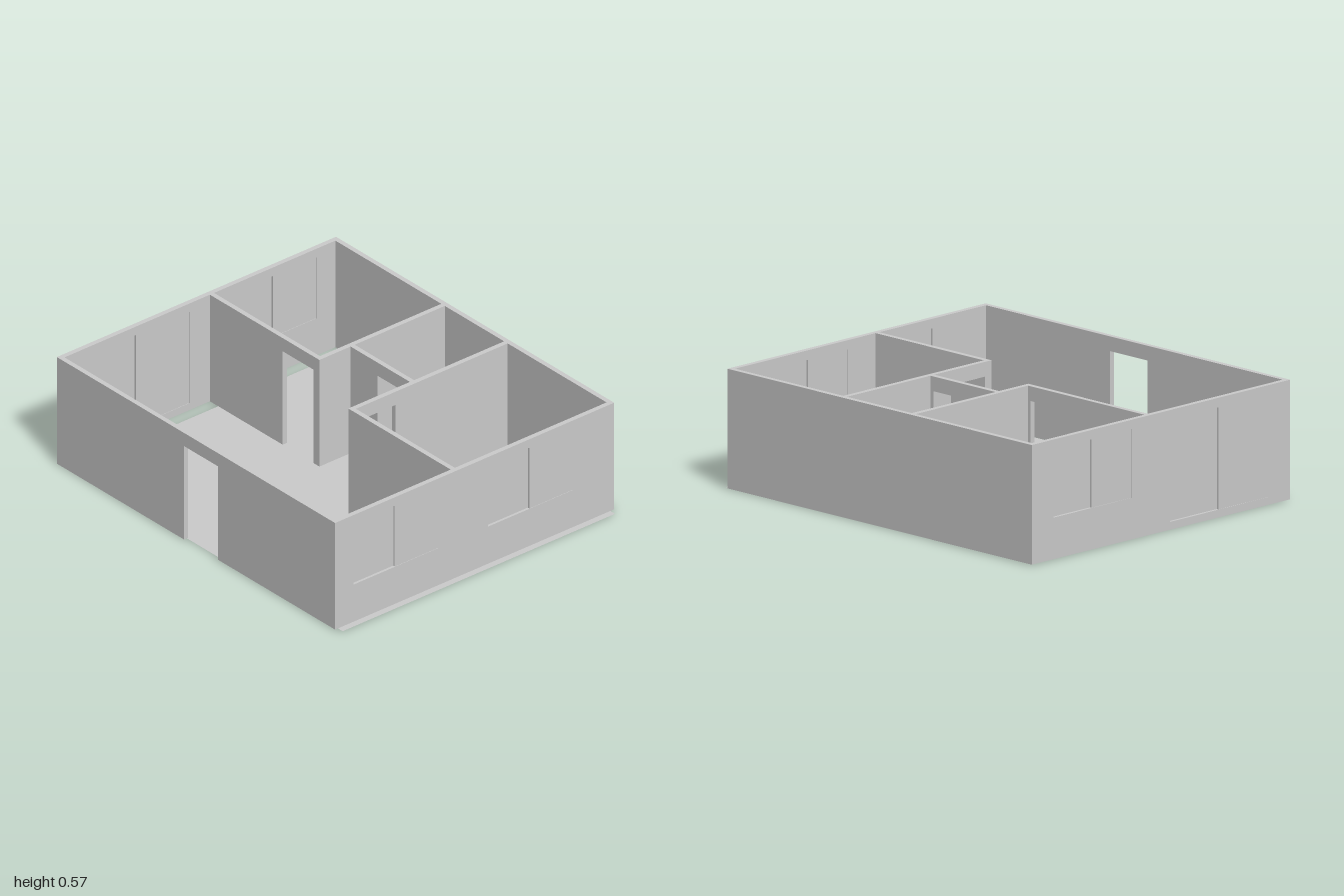
import * as THREE from 'three';

const T = 0.025;      // wall thickness
const BASE = 0.003;   // walls stand on the floor sheet
const TOP = 0.57;
const DOOR = 0.5;     // door height
const material = new THREE.MeshStandardMaterial({ color: 0xcccccc });
const floorMaterial = new THREE.MeshStandardMaterial({ color: 0xcccccc, side: THREE.DoubleSide });

// Upright wall from a to b along an axis; min is its lower face on the other axis.
// Doors are [from, to] in ascending order, windows are [from, to, bottom, top].
function wall(name, axis, a, b, min, doors = [], windows = []) {
  const shape = new THREE.Shape();
  shape.moveTo(a, BASE);
  for (const [from, to] of doors) {
    shape.lineTo(from, BASE);
    shape.lineTo(from, DOOR);
    shape.lineTo(to, DOOR);
    shape.lineTo(to, BASE);
  }
  shape.lineTo(b, BASE);
  shape.lineTo(b, TOP);
  shape.lineTo(a, TOP);
  shape.closePath();
  for (const [from, to, bottom, top] of windows) {
    const hole = new THREE.Path();
    hole.moveTo(from, bottom);
    hole.lineTo(from, top);
    hole.lineTo(to, top);
    hole.lineTo(to, bottom);
    hole.closePath();
    shape.holes.push(hole);
  }
  const geometry = new THREE.ExtrudeGeometry(shape, { depth: T, bevelEnabled: false });
  if (axis === 'z') geometry.rotateY(-Math.PI / 2).translate(min + T, 0, 0);
  else geometry.translate(0, 0, min);
  const mesh = new THREE.Mesh(geometry, material);
  mesh.name = name;
  return mesh;
}

// Two sliding panes, staggered in depth, in a side wall whose outer face is at x = outer.
function slidingWindow(name, outer, [from, to, bottom, top]) {
  const group = new THREE.Group();
  group.name = name;
  const side = Math.sign(outer);
  const half = (to - from) / 2;
  const middle = (from + to) / 2;
  const panes = [['outerPane', -side, 0.007], ['innerPane', side, 0.018]];
  for (const [paneName, zSide, depth] of panes) {
    const pane = new THREE.Mesh(new THREE.BoxGeometry(0.009, top - bottom, half + 0.004), material);
    pane.position.set(outer - side * depth, (bottom + top) / 2, middle + zSide * (half / 2 - 0.002));
    pane.name = paneName;
    group.add(pane);
  }
  return group;
}

export function createModel() {
  const model = new THREE.Group();
  model.name = 'house';

  // Floor sheet, set slightly towards the right of the walls
  const floor = new THREE.Mesh(new THREE.PlaneGeometry(1.92, 1.64).rotateX(-Math.PI / 2), floorMaterial);
  floor.position.x = 0.04;
  floor.name = 'floor';
  model.add(floor);

  const rightSide = [[-0.59, -0.08, 0.2, 0.525], [0.22, 0.73, 0.2, 0.525]];
  const leftSide = [[-0.7, -0.19, 0.2, 0.525], [0.06, 0.7, 0.04, 0.525]];

  model.add(
    // Outer walls
    wall('frontWall', 'x', -1, 0.97, 0.84 - T, [[-0.1, 0.14]]),
    wall('backWall', 'x', -1, 0.97, -0.84),
    wall('positiveXWall', 'z', -0.815, 0.815, 0.97 - T, [], rightSide),
    wall('negativeXWall', 'z', -0.815, 0.815, -1, [], leftSide),
    // Partitions
    wall('bedroomFrontPartition', 'x', -0.975, -0.2, -0.085, [[-0.46, -0.24]]),
    wall('bedroomSidePartition', 'z', -0.815, -0.085, -0.225),
    wall('bathroomPartition', 'x', -0.2, 0.22, -0.273, [[-0.01, 0.2]]),
    wall('largeRoomSidePartition', 'z', -0.815, 0.098, 0.22, [[-0.14, 0.08]]),
    wall('largeRoomFrontPartition', 'x', 0.22, 0.945, 0.098),
  );

  // Window panes
  rightSide.forEach((w) => model.add(slidingWindow('positiveXWindow', 0.97, w)));
  leftSide.forEach((w) => model.add(slidingWindow('negativeXWindow', -1, w)));
  return model;
}
